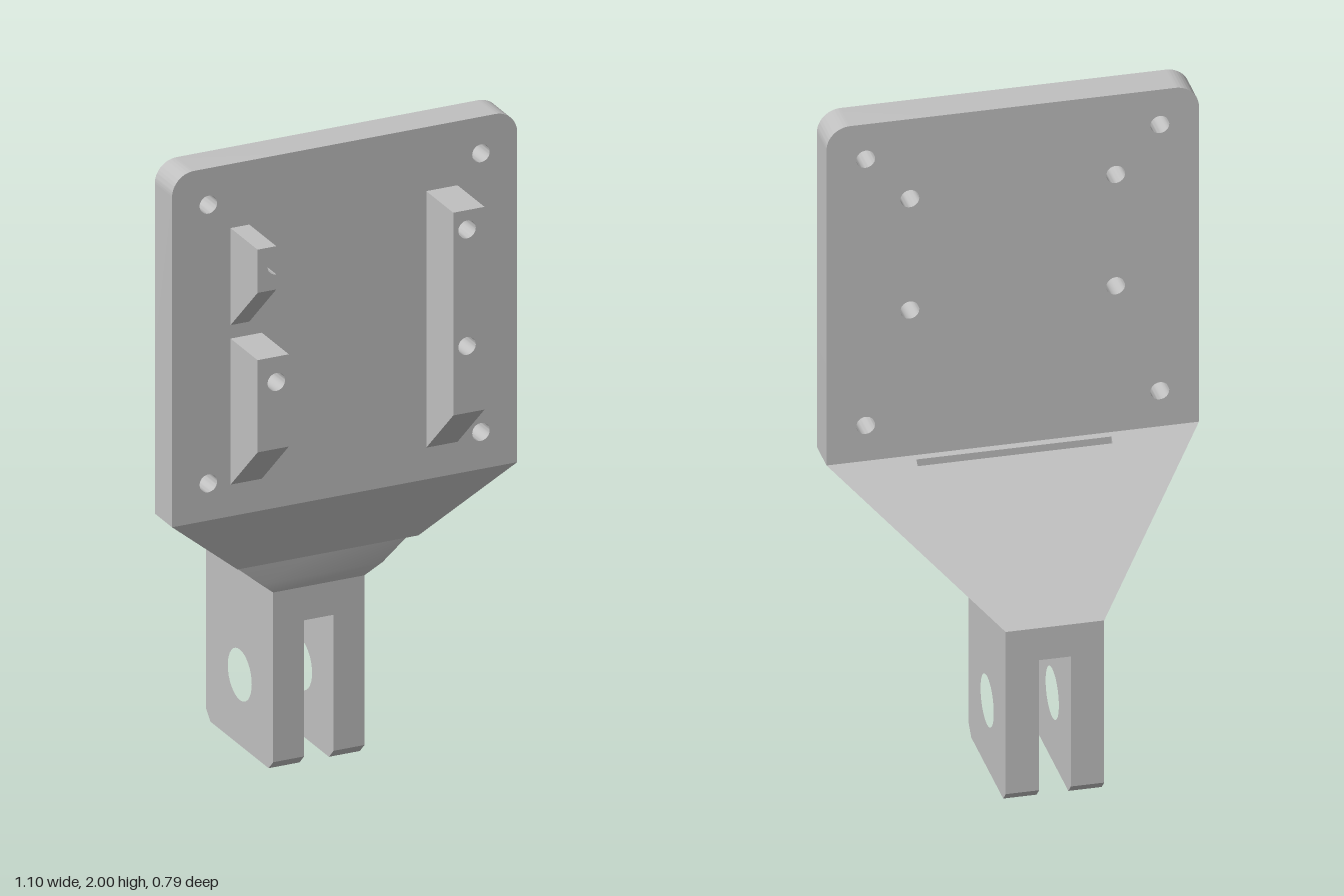
import * as THREE from 'three';
import { toCreasedNormals } from 'three/addons/utils/BufferGeometryUtils.js';

const HOLE_R = 0.028;
const grey = new THREE.MeshStandardMaterial({ color: 0xc0c0c0 });
grey.name = 'grey plastic';

function polygon(points) {
  return new THREE.Shape(points.map(([a, b]) => new THREE.Vector2(a, b)));
}

function addHole(shape, x, y, r) {
  shape.holes.push(new THREE.Path().absarc(x, y, r, 0, Math.PI * 2, true));
}

function extrude(shape, depth) {
  return new THREE.ExtrudeGeometry(shape, { depth, bevelEnabled: false, curveSegments: 16 });
}

// Side profile given as [z, y], spanning from x0(y) to x1(y)
function sideways(points, x0, x1, hole) {
  const shape = polygon(points.map(([z, y]) => [-z, y]));
  if (hole) addHole(shape, -hole[0], hole[1], hole[2]);
  const geo = extrude(shape, 1).rotateY(Math.PI / 2);
  const p = geo.attributes.position;
  for (let i = 0; i < p.count; i++) {
    p.setX(i, p.getX(i) < 0.5 ? x0(p.getY(i)) : x1(p.getY(i)));
  }
  return geo;
}

// Front profile raised from the plate, with its underside sloping outwards
function rail(shape, bottom) {
  const geo = extrude(shape, 0.18).translate(0, 0, 0.212);
  const p = geo.attributes.position;
  for (let i = 0; i < p.count; i++) {
    if (p.getY(i) < bottom + 0.001 && p.getZ(i) > 0.3) p.setY(i, bottom + 0.17);
  }
  return geo;
}

export function createModel() {
  const model = new THREE.Group();
  model.name = 'mountingBracket';
  const add = (name, geo) => {
    const g = geo.index ? geo.toNonIndexed() : geo;
    g.computeVertexNormals();
    const mesh = new THREE.Mesh(toCreasedNormals(g, 0.6), grey);
    mesh.name = name;
    model.add(mesh);
  };

  // Plate with rounded top corners and eight screw holes
  const w = 0.552, r = 0.07;
  const plate = new THREE.Shape();
  plate.moveTo(-w, 0.9);
  plate.lineTo(w, 0.9);
  plate.lineTo(w, 2 - r);
  plate.absarc(w - r, 2 - r, r, 0, Math.PI / 2, false);
  plate.lineTo(-w + r, 2);
  plate.absarc(-w + r, 2 - r, r, Math.PI / 2, Math.PI, false);
  plate.lineTo(-w, 0.9);
  for (const s of [-1, 1]) {
    for (const y of [1.016, 1.886]) addHole(plate, s * 0.436, y, HOLE_R);
    for (const y of [1.376, 1.74]) addHole(plate, s * 0.305, y, HOLE_R);
  }
  add('plate', extrude(plate, 0.114).translate(0, 0, 0.1));

  // Rails on the front of the plate
  const longRail = polygon([[0.261, 0.997], [0.361, 0.997], [0.361, 1.8], [0.261, 1.8]]);
  addHole(longRail, 0.305, 1.376, HOLE_R);
  addHole(longRail, 0.305, 1.74, HOLE_R);
  add('leftRail', rail(longRail, 0.997));

  const shortRail = polygon([[-0.365, 0.997], [-0.265, 0.997], [-0.265, 1.455], [-0.365, 1.455]]);
  addHole(shortRail, -0.305, 1.376, HOLE_R);
  add('rightLowerRail', rail(shortRail, 0.997));

  // Narrow block, grooved along its inner side by the screw hole
  const block = new THREE.Shape();
  block.moveTo(-0.365, 1.495);
  block.lineTo(-0.305, 1.495);
  block.lineTo(-0.305, 1.74 - HOLE_R);
  block.absarc(-0.305, 1.74, HOLE_R, -Math.PI / 2, Math.PI / 2, true);
  block.lineTo(-0.305, 1.8);
  block.lineTo(-0.365, 1.8);
  add('rightUpperBlock', rail(block, 1.495));

  // Tapering neck, cut by a narrow strap slot
  const mid = -0.003;
  const edge = (s) => (y) => {
    const t = (y - 0.56) / 0.34;
    return mid * (1 - t) + s * (0.146 + t * (w - 0.146));
  };
  const slotBack = 0.07, slotFront = 0.088;
  const backY = (z) => 0.9 - (0.1 - z) * 0.34 / 0.492;
  add('neckBack', sideways([[-0.392, 0.56], [0.05, 0.56], [slotBack, 0.6],
    [slotBack, backY(slotBack)]], edge(-1), edge(1)));
  add('neckFront', sideways([[slotFront, 0.68], [0.108, 0.68], [0.214, 0.9], [0.1, 0.9],
    [slotFront, backY(slotFront)]], edge(-1), edge(1)));
  const bridge = [[slotBack, 0.682], [slotFront, 0.682],
    [slotFront, backY(slotFront)], [slotBack, backY(slotBack)]];
  add('leftSlotEnd', sideways(bridge, () => 0.289, edge(1)));
  add('rightSlotEnd', sideways(bridge, edge(-1), () => -0.289));

  // Forked lug with a pivot hole
  const zb = -0.392, zf = 0.05, c = 0.03;
  const prong = [[zb, 0.455], [zb, c], [zb + c, 0], [zf - c, 0], [zf, c], [zf, 0.455]];
  const pivot = [-0.17, 0.22, 0.079];
  add('leftProng', sideways(prong, () => mid + 0.047, () => mid + 0.146, pivot));
  add('rightProng', sideways(prong, () => mid - 0.146, () => mid - 0.047, pivot));
  add('lugTop', sideways([[zb, 0.455], [zf, 0.455], [zf, 0.56], [zb, 0.56]],
    () => mid - 0.146, () => mid + 0.146));

  // The whole bracket is turned very slightly
  model.rotation.y = 0.008;
  return model;
}
